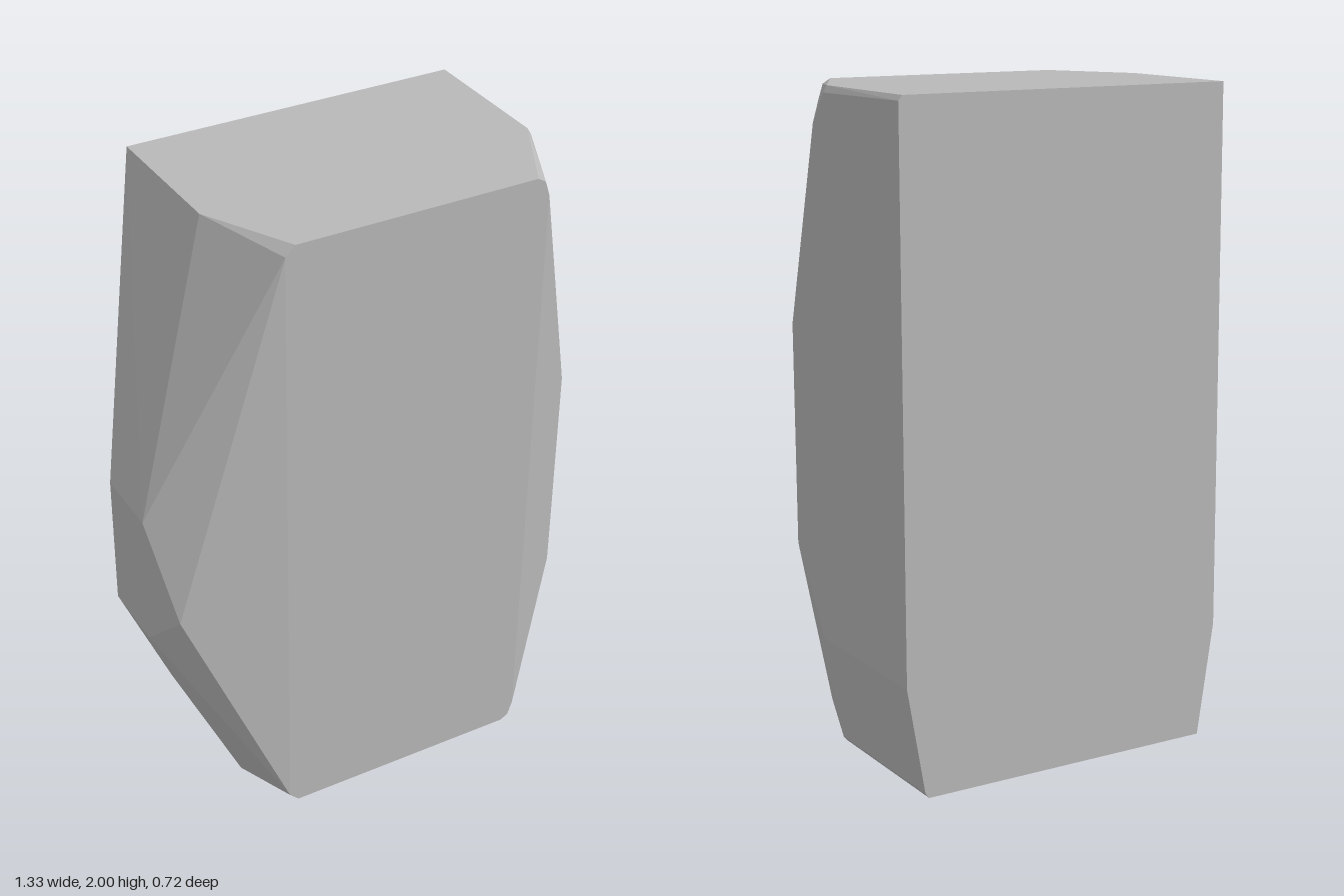
import * as THREE from 'three';
import { ConvexGeometry } from 'three/addons/geometries/ConvexGeometry.js';

// A cut stone: the convex hull of a few corner points
export function createModel() {
  const group = new THREE.Group();
  group.name = 'rock';

  const stone = new THREE.MeshStandardMaterial({ color: 0xb8b8b8 });
  stone.name = 'stone grey';

  const corners = [
    // top face
    [-0.4, 2, -0.362], [0.655, 2, -0.362], [0.655, 2, 0.09],
    [0.51, 2, 0.362], [-0.25, 2, 0.362], [-0.395, 2, 0.09],
    // small bevel below the top
    [0.667, 1.985, -0.362], [0.667, 1.98, 0.09], [0.667, 1.89, 0.16],
    [0.535, 1.985, 0.362], [0.55, 1.94, 0.362], [-0.28, 1.97, 0.362],
    // right side, with the bent front strip
    [0.667, 1.28, 0.333], [0.667, 0.6, 0.333],
    [0.667, 0.34, 0.16], [0.667, 0.34, -0.362],
    // ridge on the other side
    [-0.667, 1.15, 0], [-0.667, 1.15, 0.22],
    [-0.667, 0.73, 0], [-0.667, 0.73, 0.22], [-0.615, 0.84, 0.33],
    // small bevel above the base
    [-0.4, 0.35, -0.362], [0.612, 0.015, -0.362], [0.612, 0.015, 0.16],
    [0.55, 0.06, 0.362], [0.535, 0.015, 0.362], [-0.28, 0.03, 0.362],
    // base
    [-0.345, 0, -0.362], [0.6, 0, -0.362], [0.6, 0, 0.16],
    [0.51, 0, 0.362], [-0.25, 0, 0.362], [-0.345, 0, 0.15],
  ].map((p) => new THREE.Vector3(...p));

  const body = new THREE.Mesh(new ConvexGeometry(corners), stone);
  body.name = 'stoneBody';
  group.add(body);
  return group;
}
